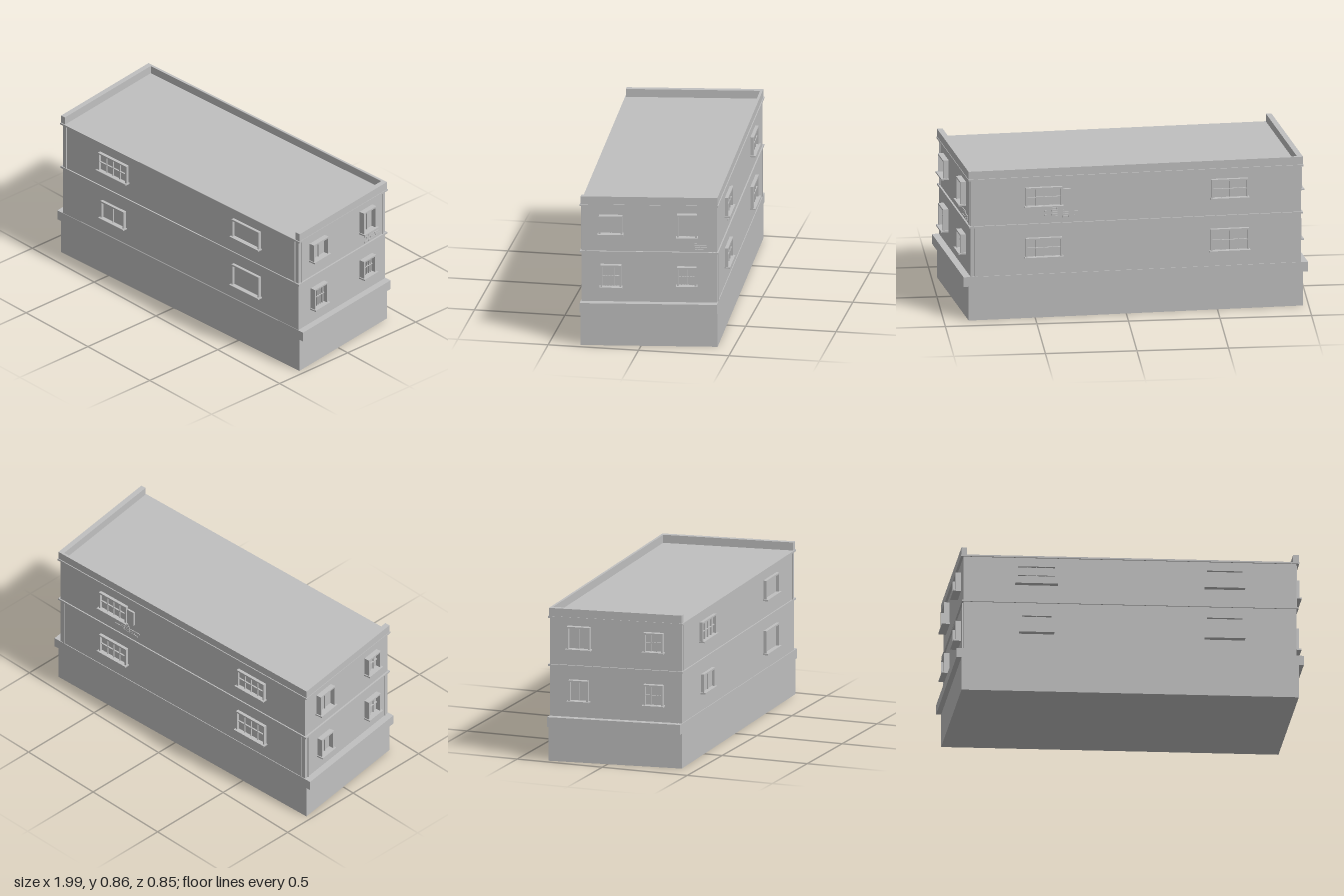
import * as THREE from 'three';

const plaster = new THREE.MeshStandardMaterial({ color: 0xc0c0c0 });
plaster.name = 'grey plaster';

// Skewed plan: unit directions along the long walls and along the end walls
const L = new THREE.Vector2(0.9175, -0.0425).normalize();
const S = new THREE.Vector2(0.0525, 0.37).normalize();

// Skewed block spanning a0..a1 along the length, b0..b1 across, y0..y1 upward
function block(parent, name, a0, a1, b0, b1, y0, y1) {
  const corner = (a, b) => new THREE.Vector2(a * L.x + b * S.x, -(a * L.y + b * S.y));
  const shape = new THREE.Shape([corner(a0, b1), corner(a1, b1), corner(a1, b0), corner(a0, b0)]);
  const geo = new THREE.ExtrudeGeometry(shape, { depth: y1 - y0, bevelEnabled: false });
  geo.rotateX(-Math.PI / 2).translate(0, y0, 0);
  const mesh = new THREE.Mesh(geo, plaster);
  mesh.name = name;
  parent.add(mesh);
}

// Box given by its extents
function box(parent, name, x0, x1, y0, y1, z0, z1) {
  const mesh = new THREE.Mesh(new THREE.BoxGeometry(x1 - x0, y1 - y0, z1 - z0), plaster);
  mesh.position.set((x0 + x1) / 2, (y0 + y1) / 2, (z0 + z1) / 2);
  mesh.name = name;
  parent.add(mesh);
}

// Framed window with a sill and glazing bars; local z points out of the wall
function addWindow(wall, u, w, y0, y1, cols, rows, depth) {
  const g = new THREE.Group();
  g.name = 'window';
  const h = w / 2, t = 0.009;
  box(g, 'frameLeft', u - h, u - h + t, y0, y1, -0.002, depth);
  box(g, 'frameRight', u + h - t, u + h, y0, y1, -0.002, depth);
  box(g, 'frameTop', u - h + t, u + h - t, y1 - t, y1, -0.002, depth);
  box(g, 'sill', u - h - 0.006, u + h + 0.006, y0 - 0.008, y0, -0.002, depth + 0.012);
  box(g, 'pane', u - h + t, u + h - t, y0, y1 - t, -0.002, 0.003);
  for (let i = 1; i < cols; i++) {
    const x = u - h + t + ((w - 2 * t) * i) / cols;
    box(g, 'uprightBar', x - 0.002, x + 0.002, y0, y1 - t, 0.002, 0.011);
  }
  for (let j = 1; j < rows; j++) {
    const y = y0 + ((y1 - t - y0) * j) / rows;
    box(g, 'crossBar', u - h + t, u + h - t, y - 0.002, y + 0.002, 0.002, 0.012);
  }
  wall.add(g);
}

// Patch of exposed bricks: each row lists its start and brick count
function addBricks(wall, u, y, rows) {
  rows.forEach(([start, count], r) => {
    for (let i = 0; i < count; i++) {
      const x = u + start + i * 0.036;
      box(wall, 'exposedBrick', x, x + 0.034, y + r * 0.0115, y + r * 0.0115 + 0.01, -0.001, 0.004);
    }
  });
}

export function createModel() {
  const model = new THREE.Group();
  model.name = 'building';
  const hl = 0.907, hs = 0.37;

  // Masses
  block(model, 'base', -0.9185, 0.9185, -0.3737, 0.3737, 0, 0.25);
  block(model, 'upperWalls', -hl, hl, -hs, hs, 0.25, 0.805);
  block(model, 'floorBand', -0.917, 0.917, -0.377, 0.377, 0.53, 0.54);
  block(model, 'roofSlab', -0.921, 0.921, -0.377, 0.377, 0.8, 0.81);

  // Base ledges on the two ends, parapets on the ends and the back
  block(model, 'leftLedge', 0.9185, 0.946, -0.3737, 0.3737, 0.195, 0.25);
  block(model, 'rightLedge', -0.946, -0.9185, -0.3737, 0.3737, 0.195, 0.25);
  block(model, 'leftParapet', 0.888, 0.9185, -0.372, 0.372, 0.81, 0.855);
  block(model, 'rightParapet', -0.9185, -0.888, -0.372, 0.372, 0.81, 0.855);
  block(model, 'backParapet', -0.888, 0.888, -0.372, -0.358, 0.81, 0.855);

  // Wall frames: local x runs along the wall, local z points outward
  const wallFrame = (name, dir, dist, normal) => {
    const g = new THREE.Group();
    g.name = name;
    g.position.set(dir.x * dist, 0, dir.y * dist);
    g.rotation.y = Math.atan2(normal[0], normal[1]);
    model.add(g);
    return g;
  };
  const front = wallFrame('frontWall', S, hs, [-L.y, L.x]);
  const back = wallFrame('backWall', S, -hs, [L.y, -L.x]);
  const left = wallFrame('leftWall', L, hl, [S.y, -S.x]);
  const right = wallFrame('rightWall', L, -hl, [-S.y, S.x]);

  // Windows: along-wall centre, width, bottom, top, columns, rows
  const windows = [
    [front, 0.018, [
      [-0.51, 0.22, 0.645, 0.75, 4, 2], [0.515, 0.21, 0.645, 0.75, 1, 1],
      [-0.51, 0.18, 0.353, 0.455, 2, 1], [0.515, 0.21, 0.343, 0.468, 1, 1]]],
    [back, 0.018, [
      [-0.505, 0.2, 0.645, 0.75, 4, 2], [0.515, 0.2, 0.645, 0.75, 4, 2],
      [-0.505, 0.2, 0.353, 0.46, 4, 2], [0.515, 0.21, 0.343, 0.465, 4, 2]]],
    [left, 0.03, [
      [-0.21, 0.128, 0.645, 0.748, 2, 1], [0.206, 0.108, 0.631, 0.76, 2, 1],
      [-0.208, 0.113, 0.342, 0.465, 6, 2], [0.205, 0.105, 0.352, 0.457, 6, 2]]],
    [right, 0.03, [
      [-0.205, 0.13, 0.636, 0.76, 2, 1], [0.215, 0.108, 0.645, 0.75, 3, 2],
      [-0.205, 0.11, 0.346, 0.46, 2, 1], [0.215, 0.108, 0.346, 0.46, 3, 2]]],
  ];
  for (const [wall, depth, list] of windows)
    for (const [u, w, y0, y1, cols, rows] of list) addWindow(wall, u, w, y0, y1, cols, rows, depth);

  // Loose shutter board beside one back window
  box(back, 'shutter', -0.4, -0.355, 0.645, 0.735, -0.001, 0.012);

  // Exposed bricks
  addBricks(left, 0.19, 0.547, [[0, 3], [0.055, 2], [0.015, 3], [0, 2]]);
  addBricks(back, -0.5, 0.57, [[0.06, 3], [0, 4], [0.04, 4], [0, 3], [0.03, 2]]);

  // Slim corner strips on each storey
  for (const [wall, half] of [[front, 0.88], [back, 0.88], [left, 0.345], [right, 0.345]])
    for (const s of [-1, 1])
      for (const [y0, y1] of wall === front || wall === left ? [[0.54, 0.8]] : [[0.25, 0.53]])
        box(wall, 'cornerStrip', s * half - 0.004, s * half + 0.004, y0, y1, -0.001, 0.005);

  return model;
}
